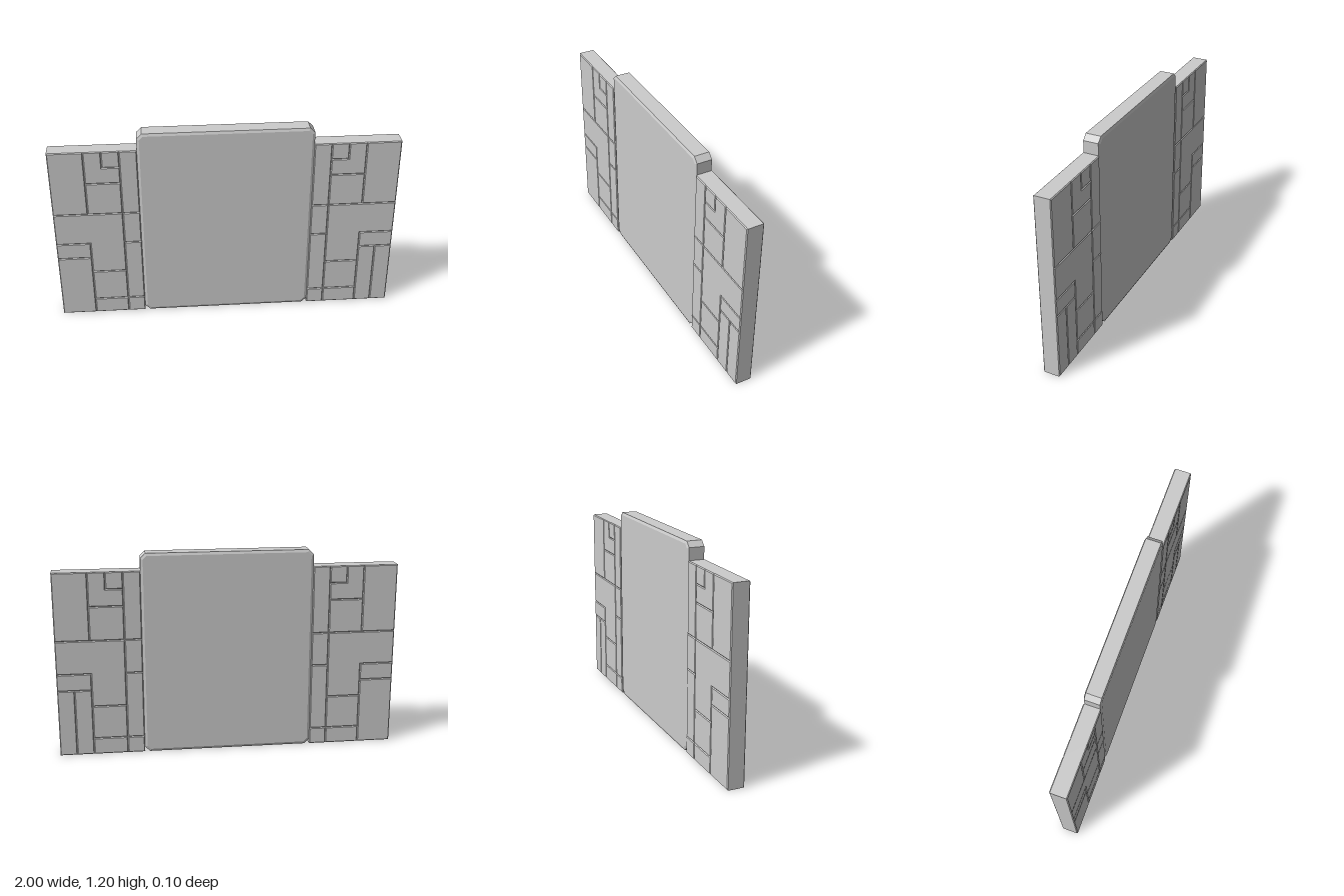
import * as THREE from 'three';

const material = new THREE.MeshStandardMaterial({ color: 0xcccccc, flatShading: true });
const DEPTH = 0.1;

// Flat slab from an outline, with a small chamfer kept inside the outline
function slab(name, points, size, thickness) {
  const shape = new THREE.Shape(points.map(([x, y]) => new THREE.Vector2(x, y)));
  const geometry = new THREE.ExtrudeGeometry(shape, {
    depth: DEPTH - 2 * thickness, bevelEnabled: true, bevelSegments: 1,
    bevelSize: size, bevelThickness: thickness, bevelOffset: -size,
  });
  geometry.translate(0, 0, thickness - DEPTH / 2);
  const mesh = new THREE.Mesh(geometry, material);
  mesh.name = name;
  return mesh;
}

const rect = (x0, x1, y0, y1) => [[x0, y0], [x1, y0], [x1, y1], [x0, y1]];

// Blocks shared by both side walls, laid out for the +x side
const blocks = [
  // inner strip
  rect(0.5, 0.6, 0, 0.1), rect(0.5, 0.6, 0.1, 0.5),
  rect(0.5, 0.6, 0.5, 0.7), rect(0.5, 0.6, 0.7, 1.1),
  // middle column
  rect(0.6, 0.8, 0, 0.1), rect(0.6, 0.8, 0.1, 0.3), rect(0.6, 0.8, 0.7, 0.9),
  rect(0.6, 0.7, 1.0, 1.1),
  [[0.6, 0.9], [0.8, 0.9], [0.8, 1.1], [0.7, 1.1], [0.7, 1.0], [0.6, 1.0]],
  // angled block reaching the outer edge
  [[0.6, 0.3], [0.8, 0.3], [0.8, 0.5], [1, 0.5], [1, 0.7], [0.6, 0.7]],
  // outer column
  rect(0.8, 1, 0.4, 0.5), rect(0.8, 1, 0.7, 1.1),
];

export function createModel() {
  const model = new THREE.Group();
  model.name = 'panelWall';

  // Large central panel with clipped corners
  const c = 0.03;
  model.add(slab('centrePanel', [
    [-0.5 + c, 0], [0.5 - c, 0], [0.5, c], [0.5, 1.2 - c],
    [0.5 - c, 1.2], [-0.5 + c, 1.2], [-0.5, 1.2 - c], [-0.5, c],
  ], 0.015, 0.006));

  // Block walls on both sides; the left one has its lowest outer block split in two
  for (const side of [1, -1]) {
    const wall = new THREE.Group();
    wall.name = side > 0 ? 'leftWall' : 'rightWall';
    const lower = side > 0
      ? [rect(0.8, 0.9, 0, 0.4), rect(0.9, 1, 0, 0.4)]
      : [rect(0.8, 1, 0, 0.4)];
    for (const outline of [...blocks, ...lower]) {
      const points = outline.map(([x, y]) => [side * x, y]);
      wall.add(slab('wallBlock', points, 0.005, 0.005));
    }
    model.add(wall);
  }
  return model;
}
